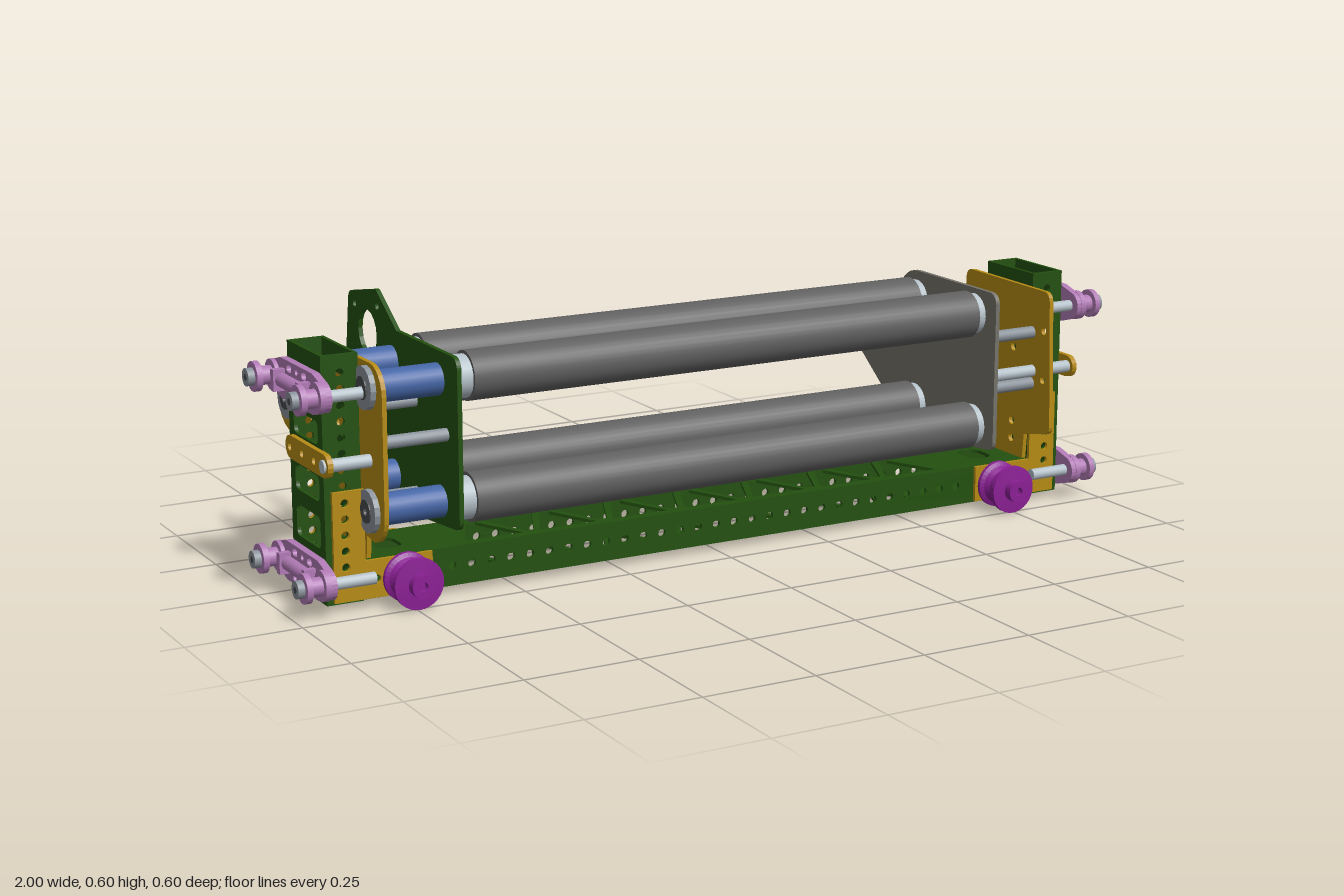
import * as THREE from 'three';

const mat = (color) => new THREE.MeshStandardMaterial({ color, side: THREE.DoubleSide });
const GREEN = mat(0x23500f), GOLD = mat(0xb58a14), RUBBER = mat(0x606060), STEEL = mat(0x8a929a);
const LIGHT = mat(0xb4c0c8), BLUE = mat(0x4465a5), PINK = mat(0xb07ab4), PURPLE = mat(0x8a1f94);
const PLATE = mat(0x75736a), DARK = mat(0x484a4c);

// Points on an arc, angles in degrees
const arc = (cx, cy, r, a0, a1, n = 8) => Array.from({ length: n + 1 }, (_, i) => {
  const a = THREE.MathUtils.degToRad(a0 + (a1 - a0) * i / n);
  return [cx + r * Math.cos(a), cy + r * Math.sin(a)];
});
const disc = (cx, cy, r) => arc(cx, cy, r, 0, 337.5, 15);
const rect = (x0, y0, x1, y1) => [[x0, y0], [x1, y0], [x1, y1], [x0, y1]];
const roundRect = (x0, y0, x1, y1, r) => [
  ...arc(x1 - r, y0 + r, r, -90, 0, 4), ...arc(x1 - r, y1 - r, r, 0, 90, 4),
  ...arc(x0 + r, y1 - r, r, 90, 180, 4), ...arc(x0 + r, y0 + r, r, 180, 270, 4)];
const vecs = (pts) => pts.map(([a, b]) => new THREE.Vector2(a, b));

// Flat sheet centred at `pos` along `axis`; outline is (z,y) for x, (x,z) for y, (x,y) for z
function sheet(parent, name, material, axis, pos, t, outline, holes = []) {
  const shape = new THREE.Shape(vecs(outline));
  shape.holes = holes.map((h) => new THREE.Path(vecs(h)));
  const g = new THREE.ExtrudeGeometry(shape, { depth: t, bevelEnabled: false });
  g.translate(0, 0, -t / 2);
  if (axis === 'x') g.rotateY(-Math.PI / 2);
  if (axis === 'y') g.rotateX(Math.PI / 2);
  const m = new THREE.Mesh(g, material);
  m.name = name;
  m.position[axis] = pos;
  parent.add(m);
  return m;
}

// Round bar along x from x0 to x1
function rod(parent, name, material, x0, x1, y, z, r, sides = 24) {
  const g = new THREE.CylinderGeometry(r, r, Math.abs(x1 - x0), sides).rotateZ(Math.PI / 2);
  const m = new THREE.Mesh(g, material);
  m.name = name;
  m.position.set((x0 + x1) / 2, y, z);
  parent.add(m);
}

function ring(parent, name, material, x, t, y, z, rOut, rIn) {
  sheet(parent, name, material, 'x', x, t, disc(z, y, rOut), [disc(z, y, rIn)]);
}

// Roller axes as [z, y]
const AXES = [[0.212, 0.472], [0.218, 0.215], [-0.02, 0.463], [-0.02, 0.215], [-0.215, 0.36]];

function addRollers(root) {
  for (const [z, y] of AXES) {
    const g = new THREE.Group();
    g.name = 'roller';
    rod(g, 'rollerTube', RUBBER, -0.615, 0.635, y, z, 0.053, 32);
    rod(g, 'rollerCollar', LIGHT, -0.65, -0.615, y, z, 0.046);
    rod(g, 'rollerCollar', LIGHT, 0.635, 0.655, y, z, 0.046);
    rod(g, 'driveDrum', BLUE, -0.815, -0.675, y, z, 0.034);
    ring(g, 'bearingCap', STEEL, 0.672, 0.014, y, z, 0.05, 0.024);
    ring(g, 'bearingHub', DARK, 0.676, 0.014, y, z, 0.025, 0.009);
    ring(g, 'bearingCap', STEEL, -0.836, 0.012, y, z, 0.046, 0.024);
    ring(g, 'bearingHub', DARK, -0.838, 0.014, y, z, 0.025, 0.009);
    root.add(g);
  }
}

function addRollerPlates(root) {
  const front = [...arc(0.275, 0.188, 0.022, -85, 0), ...arc(0.272, 0.505, 0.025, 0, 90)];
  const low = arc(-0.02, 0.215, 0.075, 239, 272);
  sheet(root, 'rightRollerPlate', PLATE, 'x', 0.66, 0.01, [
    ...front, ...arc(-0.02, 0.455, 0.075, 90, 175), ...arc(-0.215, 0.36, 0.075, 65, 239, 14), ...low]);
  sheet(root, 'leftRollerPlate', GREEN, 'x', -0.665, 0.01, [
    ...front, [-0.005, 0.53], ...arc(-0.115, 0.582, 0.018, 60, 105, 4), ...arc(-0.243, 0.555, 0.02, 100, 170, 4),
    ...arc(-0.285, 0.318, 0.014, 175, 240, 4), [-0.215, 0.262], ...low,
  ], [disc(-0.16, 0.498, 0.05), disc(-0.105, 0.565, 0.009), disc(-0.228, 0.55, 0.009)]);

  // Outer gold plates
  const bolts = [[0.255, 0.42], [0.255, 0.305], [-0.045, 0.387], [-0.045, 0.295]].map(([z, y]) => disc(z, y, 0.009));
  const grid = [0.363, 0.274, 0.187, 0.145].flatMap((y) => [0.14, 0.05].map((z) => disc(z, y, 0.01)));
  sheet(root, 'rightGoldPlate', GOLD, 'x', 0.825, 0.01, [
    [0, 0.105], [0.185, 0.105], [0.19, 0.163], ...arc(0.267, 0.2, 0.02, -100, -5, 4),
    ...arc(0.254, 0.492, 0.02, 0, 90, 4), ...arc(-0.035, 0.495, 0.02, 90, 175, 4),
    ...arc(-0.048, 0.198, 0.02, 180, 220, 4), [-0.002, 0.128],
  ], [...bolts, ...grid]);
  sheet(root, 'leftGoldPlate', GOLD, 'x', -0.825, 0.01, [
    [0, 0.105], [0.185, 0.105], [0.19, 0.155], ...arc(0.218, 0.215, 0.066, -80, 0, 6),
    ...arc(0.225, 0.465, 0.06, 0, 90, 6), ...arc(-0.02, 0.463, 0.06, 90, 195), [-0.115, 0.41],
    ...arc(-0.215, 0.36, 0.075, 45, 305, 16), [-0.12, 0.275], ...arc(-0.02, 0.215, 0.06, 165, 240),
  ], [[[-0.045, 0.385], [-0.125, 0.36], [-0.045, 0.295]], ...grid]);
}

function addStandoffs(root) {
  for (const [z, y] of [[-0.05, 0.41], [0.21, 0.41], [-0.05, 0.3], [0.21, 0.29]])
    rod(root, 'rightStandoff', STEEL, 0.665, 0.825, y, z, 0.014, 16);
  for (const [z, y] of [[-0.14, 0.385], [-0.125, 0.345], [0.085, 0.4], [0.24, 0.36], [0.085, 0.2]])
    rod(root, 'leftStandoff', STEEL, -0.825, -0.665, y, z, 0.014, 16);
  rod(root, 'rightTieRod', LIGHT, 0.665, 0.935, 0.32, 0.215, 0.014, 16);
  rod(root, 'leftTieRod', LIGHT, -0.935, -0.825, 0.32, 0.215, 0.014, 16);
}

// Hollow cross beam: drilled sides, zigzag truss on top and bottom
function addBeam(root) {
  const g = new THREE.Group();
  g.name = 'crossBeam';
  const drilled = Array.from({ length: 29 }, (_, i) => disc((i - 14) * 0.0455, 0.06, 0.009));
  for (const z of [0.009, 0.18]) sheet(g, 'beamSide', GREEN, 'z', z, 0.008, rect(-0.84, 0.017, 0.84, 0.102), drilled);
  const tri = [];
  const p = 0.176, z0 = 0.03, z1 = 0.16;
  for (let i = -3; i <= 3; i++) {
    tri.push([[i * p - 0.068, z1], [i * p + 0.068, z1], [i * p + 0.012, z0 + 0.01], [i * p - 0.012, z0 + 0.01]]);
    if (i < 3) {
      const c = (i + 0.5) * p;
      tri.push([[c - 0.063, z0], [c + 0.063, z0], [c + 0.01, z1 - 0.01], [c - 0.01, z1 - 0.01]]);
    }
  }
  for (const s of [-1, 1]) tri.push(roundRect(s * 0.75 - 0.03, 0.05, s * 0.75 + 0.03, 0.13, 0.025));
  for (const y of [0.02, 0.098]) sheet(g, 'beamTruss', GREEN, 'y', y, 0.007, rect(-0.84, 0.008, 0.84, 0.182), tri);
  root.add(g);
}

// Upright channel with windows, drilled edges and gold corner gussets
function addPost(root, s) {
  const g = new THREE.Group();
  g.name = s > 0 ? 'leftPost' : 'rightPost';
  const windows = [[0.35, 0.4], [0.23, 0.285], [0.13, 0.198]].map(([a, b]) => roundRect(0.03, a, 0.16, b, 0.014));
  const high = roundRect(0.03, 0.428, 0.16, 0.48, 0.014);
  const pins = [0.03, 0.095, 0.16].map((z) => disc(z, 0.32, 0.009));
  sheet(g, 'postOuterFace', GREEN, 'x', s * 0.915, 0.008, rect(0.005, 0.015, 0.184, 0.54), [...windows, ...pins]);
  sheet(g, 'postInnerFace', GREEN, 'x', s * 0.842, 0.008, rect(0.005, 0.015, 0.184, 0.54), [...windows, high]);
  const dots = Array.from({ length: 14 }, (_, i) => disc(s * 0.878, 0.06 + i * 0.034, 0.009));
  const l = s > 0 ? (a) => a : (a) => a.map(([x, y]) => [-x, y]);
  const gussetHoles = [...dots.slice(0, 6), ...[0.72, 0.765, 0.81].map((x) => disc(s * x, 0.06, 0.009))];
  for (const [z, zg] of [[0.009, 0.001], [0.18, 0.188]]) {
    sheet(g, 'postEdge', GREEN, 'z', z, 0.008, l(rect(0.838, 0.015, 0.919, 0.54)), dots);
    sheet(g, 'cornerGusset', GOLD, 'z', zg, 0.008,
      l([[0.685, 0.02], [0.905, 0.02], [0.905, 0.255], [0.835, 0.255], [0.835, 0.102], [0.685, 0.102]]), gussetHoles);
  }
  sheet(g, 'linkBar', GOLD, 'x', s * 0.924, 0.012,
    [...arc(0.213, 0.32, 0.025, -90, 90), ...arc(0.032, 0.32, 0.025, 90, 270)], pins);
  root.add(g);
}

// Guide bracket with a small roller at each end
function addGuide(root, s, y) {
  const g = new THREE.Group();
  g.name = 'guideBracket';
  const slots = [-1, 1].flatMap((k) => [0.055, 0.135].map((z) => {
    const c = y + k * 0.028;
    return roundRect(z - 0.013, c - 0.008, z + 0.013, c + 0.008, 0.007);
  }));
  sheet(g, 'guidePlate', PINK, 'x', s * 0.928, 0.016, [
    ...arc(0.215, y, 0.032, -65, 65), [0.18, y + 0.043], [0.008, y + 0.043],
    ...arc(-0.027, y, 0.032, 115, 245), [0.008, y - 0.043], [0.18, y - 0.043]],
  [...slots, disc(0.095, y + 0.028, 0.007), disc(0.095, y - 0.028, 0.006)]);
  const bar = new THREE.Mesh(new THREE.CylinderGeometry(0.015, 0.015, 0.125, 16).rotateX(Math.PI / 2), PINK);
  bar.name = 'guideBar';
  bar.position.set(s * 0.943, y, 0.094);
  g.add(bar);
  for (const z of [0.163, 0.025]) {
    const lug = new THREE.Mesh(new THREE.BoxGeometry(0.03, 0.046, 0.016), PINK);
    lug.name = 'guideLug';
    lug.position.set(s * 0.947, y, z);
    g.add(lug);
  }
  for (const z of [0.215, -0.027]) {
    rod(g, 'guideSpacer', LIGHT, s * 0.825, s * 0.922, y, z, 0.013, 16);
    rod(g, 'guideFlange', PINK, s * 0.932, s * 0.945, y, z, 0.033);
    rod(g, 'guideCore', PINK, s * 0.945, s * 0.972, y, z, 0.02);
    rod(g, 'guideFlange', PINK, s * 0.972, s * 0.985, y, z, 0.032);
    rod(g, 'guideBolt', STEEL, s * 0.985, s * 1.0, y, z, 0.019);
    rod(g, 'boltSocket', DARK, s * 0.995, s * 1.0005, y, z, 0.008, 6);
  }
  root.add(g);
}

// Spool-shaped wheel facing forward
function addWheel(root, s) {
  const profile = [[0, 0.19], [0.053, 0.19], [0.053, 0.2], [0.044, 0.205], [0.037, 0.218], [0.037, 0.23], [0.044, 0.242],
    [0.055, 0.248], [0.055, 0.258], [0.025, 0.26], [0.025, 0.28], [0.01, 0.28], [0.01, 0.265], [0, 0.265]];
  const geo = new THREE.LatheGeometry(vecs(profile), 32).toNonIndexed().rotateX(Math.PI / 2);
  geo.computeVertexNormals();
  const m = new THREE.Mesh(geo, PURPLE);
  m.name = 'frontWheel';
  m.position.set(s * 0.745, 0.056, 0);
  root.add(m);
}

export function createModel() {
  const root = new THREE.Group();
  root.name = 'rollerFrame';
  addRollers(root);
  addRollerPlates(root);
  addStandoffs(root);
  addBeam(root);
  for (const s of [-1, 1]) {
    addPost(root, s);
    for (const y of [0.463, 0.071]) addGuide(root, s, y);
    addWheel(root, s);
  }
  return root;
}
